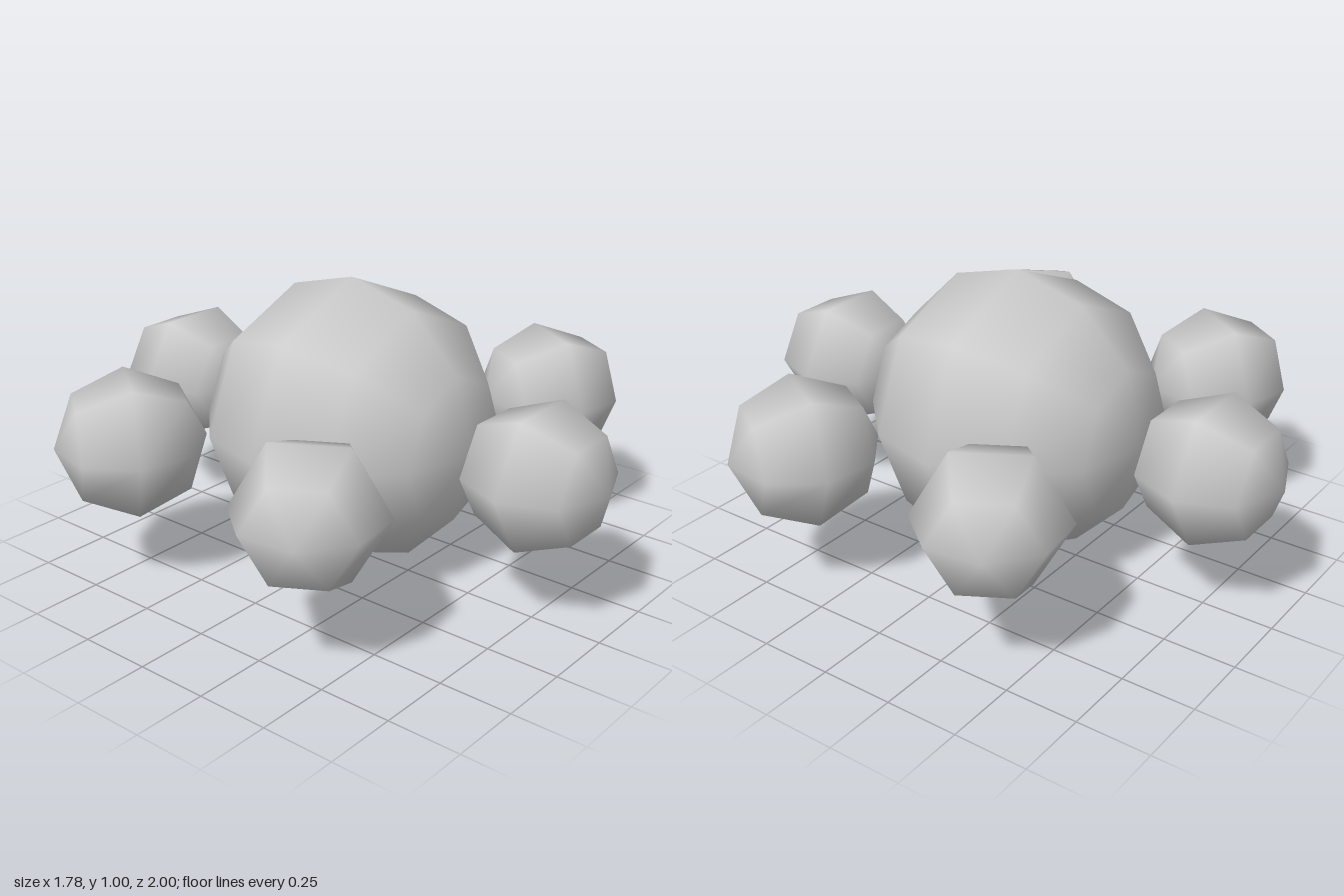
import * as THREE from 'three';

// Low-sided smooth sphere with its poles along z
function ball(name, radius, sides, rings, material) {
  const geometry = new THREE.SphereGeometry(radius, sides, rings).rotateX(Math.PI / 2);
  const mesh = new THREE.Mesh(geometry, material);
  mesh.name = name;
  return mesh;
}

export function createModel() {
  const group = new THREE.Group();
  group.name = 'ballCluster';
  const grey = new THREE.MeshStandardMaterial({ color: 0xcccccc });

  // Large ball in the middle
  const centre = ball('centreBall', 0.5, 8, 6, grey);
  centre.position.y = 0.5;
  group.add(centre);

  // Ring of small balls touching the large one, poles pointing outwards;
  // the back right one sits 5 degrees off the even spacing
  [0, 60, 120, 180, 235, 300].forEach((degrees, i) => {
    const angle = THREE.MathUtils.degToRad(degrees);
    const outer = ball(`outerBall${i + 1}`, 0.25, 6, 4, grey);
    outer.position.set(0.75 * Math.sin(angle), 0.5, 0.75 * Math.cos(angle));
    outer.rotation.y = angle;
    group.add(outer);
  });

  return group;
}
